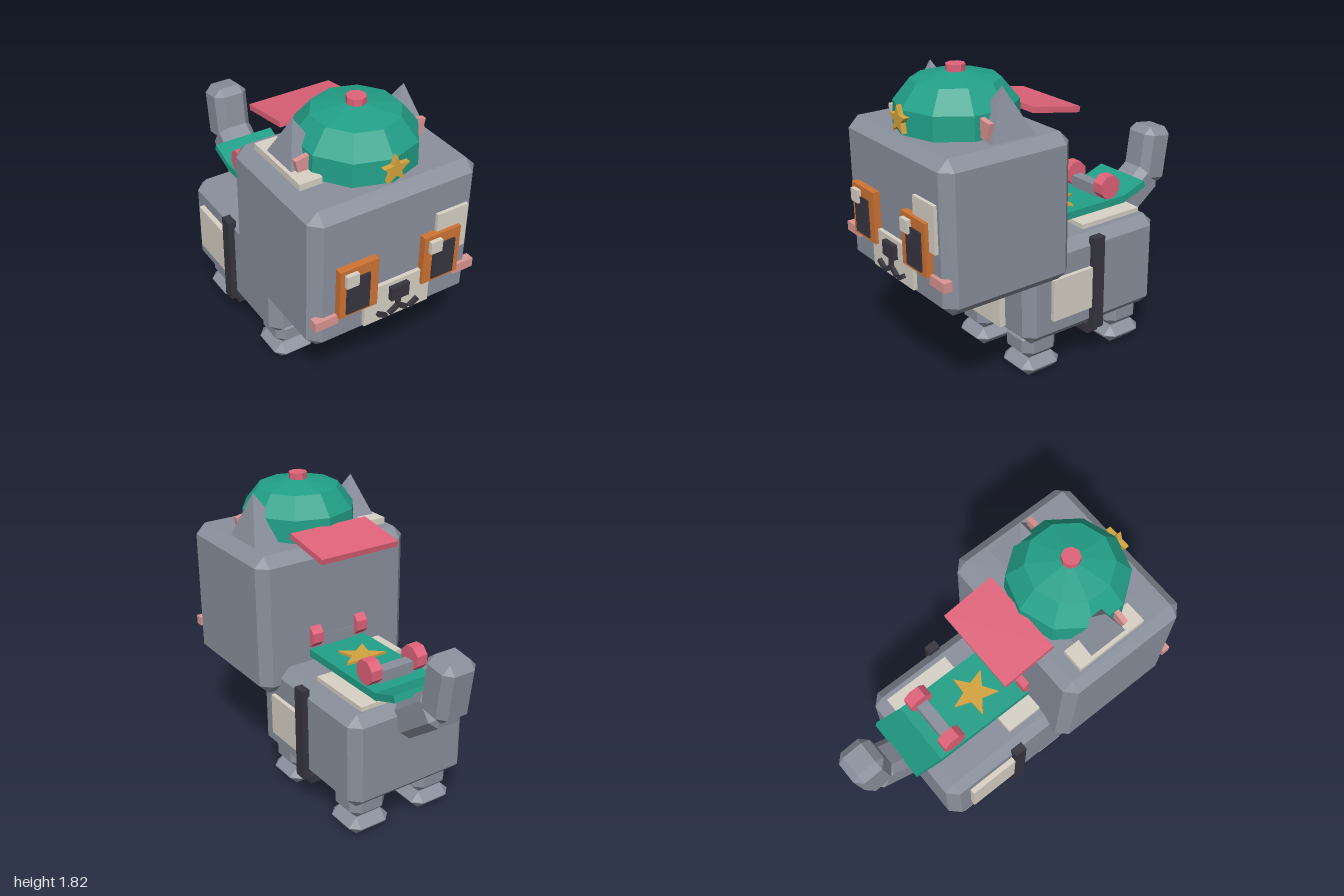
import * as THREE from 'three';
import { ConvexGeometry } from 'three/addons/geometries/ConvexGeometry.js';

const material = (name, color) => {
  const m = new THREE.MeshStandardMaterial({ color, flatShading: true });
  m.name = name;
  return m;
};

// Box with every edge cut off by c
function chamferBox(w, h, d, c) {
  const points = [];
  for (const x of [-1, 1]) for (const y of [-1, 1]) for (const z of [-1, 1]) {
    const [a, b, e] = [w / 2, h / 2, d / 2];
    points.push(new THREE.Vector3(x * a, y * (b - c), z * (e - c)));
    points.push(new THREE.Vector3(x * (a - c), y * b, z * (e - c)));
    points.push(new THREE.Vector3(x * (a - c), y * (b - c), z * e));
  }
  return new ConvexGeometry(points);
}

// Five-pointed star, extruded along +z
function starGeometry(radius, depth) {
  const points = [];
  for (let i = 0; i < 10; i++) {
    const r = i % 2 ? radius * 0.42 : radius;
    const a = (i * Math.PI) / 5;
    points.push(new THREE.Vector2(Math.sin(a) * r, Math.cos(a) * r));
  }
  return new THREE.ExtrudeGeometry(new THREE.Shape(points), { depth, bevelEnabled: false });
}

export function createModel() {
  const model = new THREE.Group();
  const grey = material('grey fur', 0x8a909d);
  const cream = material('cream fur', 0xd8d2c6);
  const green = material('green', 0x22a088);
  const pink = material('bright pink', 0xe0637a);
  const blush = material('blush pink', 0xdc9694);
  const orange = material('orange', 0xd07434);
  const dark = material('charcoal', 0x37353f);
  const gold = material('gold', 0xd4a43f);

  const add = (name, geometry, mat, x = 0, y = 0, z = 0) => {
    const mesh = new THREE.Mesh(geometry, mat);
    mesh.name = name;
    mesh.position.set(x, y, z);
    model.add(mesh);
    return mesh;
  };
  // Plain box from its lower and upper limits
  const box = (name, mat, x0, x1, y0, y1, z0, z1) =>
    add(name, new THREE.BoxGeometry(x1 - x0, y1 - y0, z1 - z0), mat,
      (x0 + x1) / 2, (y0 + y1) / 2, (z0 + z1) / 2);

  // Body, head and tail
  add('body', chamferBox(0.795, 0.585, 0.965, 0.06), grey, 0, 0.515, -0.126);
  add('head', chamferBox(1.01, 0.85, 0.81, 0.06), grey, 0, 1.068, 0.53);
  add('tailBase', chamferBox(0.22, 0.38, 0.215, 0.045), grey, 0, 0.797, -0.715).rotation.x = -0.93;
  add('tailTip', chamferBox(0.22, 0.36, 0.21, 0.045), grey, 0, 1.025, -0.88).rotation.x = -0.14;

  // Legs and paws
  for (const x of [-0.223, 0.223]) for (const z of [0.205, -0.422]) {
    add('leg', chamferBox(0.24, 0.18, 0.24, 0.05), grey, x, 0.19, z);
    add('paw', chamferBox(0.27, 0.105, 0.27, 0.05), grey, x, 0.0525, z);
  }

  // Cream patches
  box('chestPatch', cream, -0.18, 0.18, 0.29, 0.68, 0.33, 0.395);
  box('rightFlankPatch', cream, -0.43, -0.38, 0.39, 0.68, -0.475, -0.15);
  box('leftFlankPatch', cream, 0.38, 0.423, 0.365, 0.62, -0.1, 0.195);
  box('backPatch', cream, 0.08, 0.3, 0.79, 0.835, -0.54, -0.11);
  box('backPatch', cream, -0.3, -0.08, 0.79, 0.835, -0.105, 0.2);
  box('crownPatch', cream, -0.43, -0.298, 1.47, 1.53, 0.25, 0.69);
  box('browPatch', cream, 0.23, 0.427, 0.997, 1.26, 0.92, 0.955);
  box('muzzle', cream, -0.205, 0.205, 0.715, 0.945, 0.92, 0.958);

  // Face
  const stroke = (x0, y0, x1, y1) => {
    const line = add('mouthStroke',
      new THREE.BoxGeometry(Math.hypot(x1 - x0, y1 - y0), 0.024, 0.03), dark,
      (x0 + x1) / 2, (y0 + y1) / 2, 0.964);
    line.rotation.z = Math.atan2(y1 - y0, x1 - x0);
  };
  for (const s of [-1, 1]) {
    const eye = s * 0.257;
    box('eye', orange, eye - 0.115, eye + 0.115, 0.857, 1.155, 0.92, 0.976);
    box('pupil', dark, s * 0.266 - 0.069, s * 0.266 + 0.069, 0.877, 1.095, 0.96, 0.986);
    const glint = s < 0 ? -0.31 : 0.205;
    box('eyeGlint', cream, glint - 0.036, glint + 0.036, 1.058, 1.132, 0.96, 1);
    box('cheek', blush, s * 0.433 - 0.068, s * 0.433 + 0.068, 0.815, 0.87, 0.907, 0.957);
    stroke(0, 0.78, s * 0.055, 0.742);
    stroke(s * 0.072, 0.738, s * 0.127, 0.772);
  }
  box('nose', dark, -0.056, 0.056, 0.836, 0.92, 0.94, 0.985);
  box('noseLine', dark, -0.011, 0.011, 0.765, 0.84, 0.95, 0.978);

  // Ears: four-sided pyramids with the tip nearer the outside
  const earPoints = [[0.15, 0.33], [0.15, 0.58], [0.425, 0.315], [0.425, 0.6]];
  for (const s of [-1, 1]) {
    const points = earPoints.map(([x, z]) => new THREE.Vector3(s * x, 1.48, z));
    points.push(new THREE.Vector3(s * 0.335, 1.76, 0.47));
    add('ear', new ConvexGeometry(points), grey);
    const inner = add('innerEar', new THREE.BoxGeometry(0.13, 0.1, 0.03), blush, s * 0.322, 1.56, 0.582);
    inner.rotation.z = -s * 0.2;
  }

  // Cap worn backwards
  const capProfile = [[0, 1.485], [0.34, 1.485], [0.335, 1.625], [0.24, 1.742], [0, 1.79]];
  add('cap', new THREE.LatheGeometry(capProfile.map(p => new THREE.Vector2(...p)), 10), green, 0, 0, 0.525);
  add('capButton', new THREE.CylinderGeometry(0.054, 0.054, 0.045, 8), pink, 0, 1.794, 0.525);
  add('capBrim', new THREE.BoxGeometry(0.51, 0.034, 0.325), pink, 0, 1.537, 0.05).rotation.x = -0.17;
  add('capStar', starGeometry(0.08, 0.03), gold, 0, 1.577, 0.857);

  // Strap around the body
  for (const s of [-1, 1])
    box('sideStrap', dark, s * 0.41 - 0.025, s * 0.41 + 0.025, 0.225, 0.8, -0.162, -0.086);
  box('bellyStrap', dark, -0.385, 0.385, 0.177, 0.23, -0.162, -0.086);

  // Upside-down skateboard on the back
  const middle = -0.127;
  box('deck', green, -0.195, 0.195, 0.835, 0.88, middle - 0.405, middle + 0.405);
  add('deckStar', starGeometry(0.145, 0.025), gold, 0, 0.87, middle).rotation.x = -Math.PI / 2;
  for (const s of [-1, 1]) {
    const kick = add('deckKick', new THREE.BoxGeometry(0.39, 0.042, 0.18), green, 0, 0.887, middle + s * 0.475);
    kick.rotation.x = -s * 0.34;
    const z = middle + s * 0.285;
    box('axle', grey, -0.125, 0.125, 0.87, 0.95, z - 0.036, z + 0.036);
    for (const x of [-0.155, 0.155]) {
      const wheel = add('wheel', new THREE.CylinderGeometry(0.076, 0.076, 0.072, 8), pink, x, 0.957, z);
      wheel.rotation.set(Math.PI / 8, 0, Math.PI / 2);
    }
  }
  return model;
}
